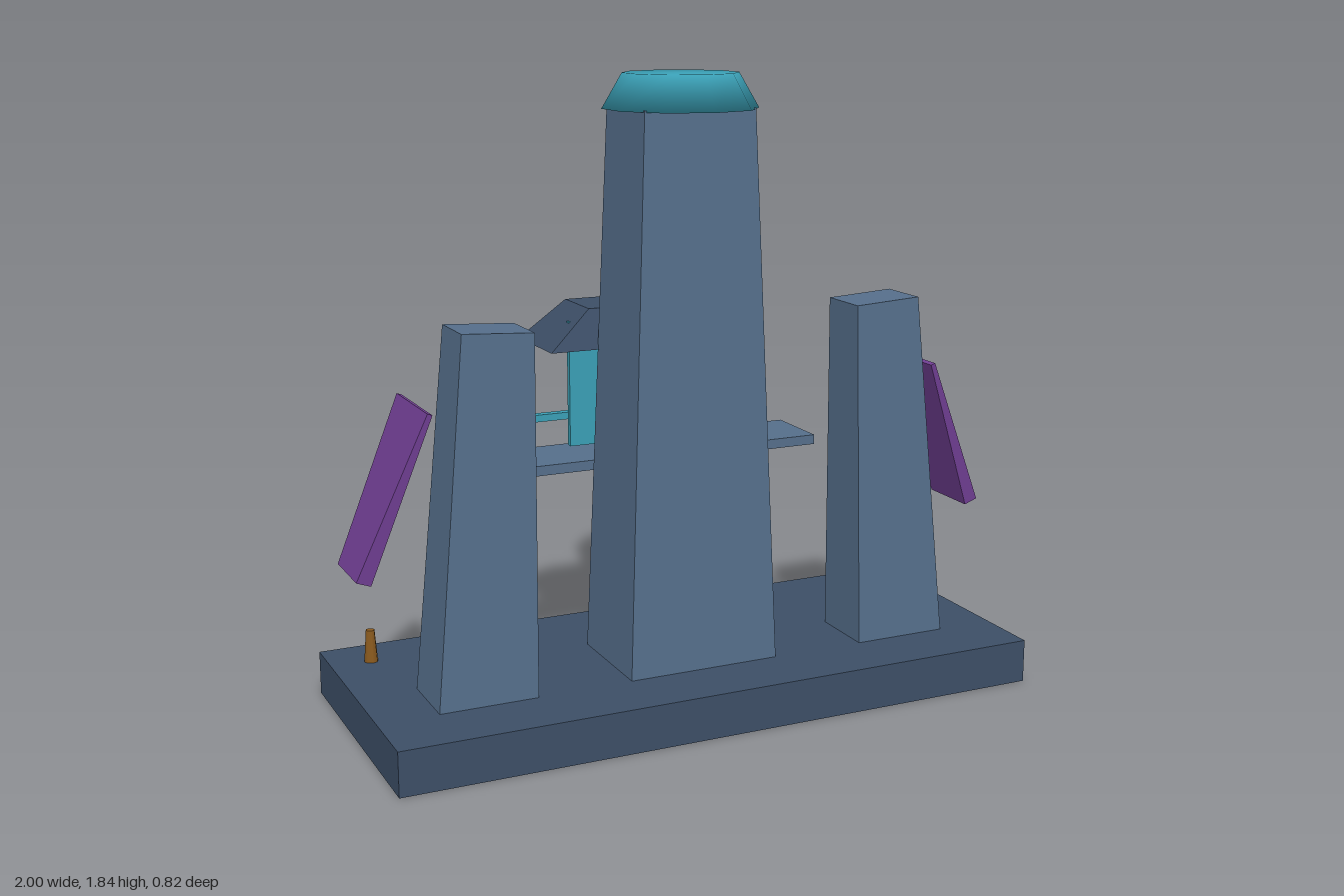
import * as THREE from 'three';
import { mergeVertices } from 'three/addons/utils/BufferGeometryUtils.js';

const material = (color) => new THREE.MeshStandardMaterial({ color });

// Tapered block. Each end is { x: [inner, outer], y: [at inner, at outer], z: [back, front] }.
// side = -1 mirrors the block across x = 0.
function taperedBlock(bottom, top, side = 1) {
  const geometry = new THREE.BoxGeometry(1, 1, 1);
  const p = geometry.attributes.position;
  for (let i = 0; i < p.count; i++) {
    const end = p.getY(i) > 0 ? top : bottom;
    const outer = p.getX(i) * side > 0 ? 1 : 0;
    const front = p.getZ(i) > 0 ? 1 : 0;
    p.setXYZ(i, side * end.x[outer], end.y[outer], end.z[front]);
  }
  geometry.computeVertexNormals();
  return geometry;
}

// Straight box given by its extents
function slab([x0, x1], [y0, y1], [z0, z1]) {
  return new THREE.BoxGeometry(x1 - x0, y1 - y0, z1 - z0)
    .translate((x0 + x1) / 2, (y0 + y1) / 2, (z0 + z1) / 2);
}

// Shares vertices so that the shading runs smoothly over all faces
function smooth(geometry) {
  geometry.deleteAttribute('normal');
  geometry.deleteAttribute('uv');
  const merged = mergeVertices(geometry);
  merged.computeVertexNormals();
  return merged;
}

export function createModel() {
  const model = new THREE.Group();
  const stone = material(0x556e8a);
  const darkStone = material(0x3c4e66);
  const teal = material(0x3a9fb5);
  const purple = material(0x713f94);
  const brass = material(0x8a5a1e);

  const add = (name, geometry, mat) => {
    const mesh = new THREE.Mesh(geometry, mat);
    mesh.name = name;
    model.add(mesh);
    return mesh;
  };

  // Base and main tower
  add('base', slab([-0.985, 0.985], [0, 0.13], [-0.405, 0.405]), darkStone);
  add('mainTower', taperedBlock(
    { x: [-0.233, 0.233], y: [0.125, 0.125], z: [-0.13, 0.207] },
    { x: [-0.17, 0.17], y: [1.745, 1.745], z: [-0.095, 0.17] }), stone);

  // Ten-sided cap and the orb behind the tower
  add('towerCap', smooth(new THREE.CylinderGeometry(0.166, 0.224, 0.1, 10)), teal)
    .position.set(0, 1.79, 0.037);
  add('orb', new THREE.SphereGeometry(0.085, 10, 8), purple).position.set(0, 1.66, -0.163);

  // Rear booth: roof, ledge and rail
  add('roof', taperedBlock(
    { x: [-0.345, 0.345], y: [1.04, 1.04], z: [-0.375, -0.103] },
    { x: [-0.21, 0.21], y: [1.155, 1.155], z: [-0.332, -0.146] }), darkStone);
  add('ledge', slab([-0.565, 0.565], [0.66, 0.69], [-0.396, -0.171]), stone);
  add('rail', slab([-0.302, 0.302], [0.77, 0.792], [-0.411, -0.384]), teal);

  // Paired parts
  for (const [side, label] of [[1, 'left'], [-1, 'right']]) {
    add(label + 'Tower', taperedBlock(
      { x: [0.518, 0.808], y: [0.12, 0.13], z: [0, 0.21] },
      { x: [0.503, 0.71], y: [1.163, 1.175], z: [0.02, 0.184] }, side), stone);

    add(label + 'Fin', taperedBlock(
      { x: [0.957, 0.998], y: [0.485, 0.5], z: [-0.088, 0.103] },
      { x: [0.785, 0.799], y: [0.955, 0.96], z: [-0.135, 0.15] }, side), purple);

    const windowX = side > 0 ? [0.008, 0.262] : [-0.262, -0.008];
    add(label + 'Window', slab(windowX, [0.74, 1.115], [-0.191, -0.173]), teal);

    add(label + 'Post', new THREE.CylinderGeometry(0.013, 0.021, 0.1, 8), brass)
      .position.set(side * 0.865, 0.177, -0.267);
  }

  return model;
}
